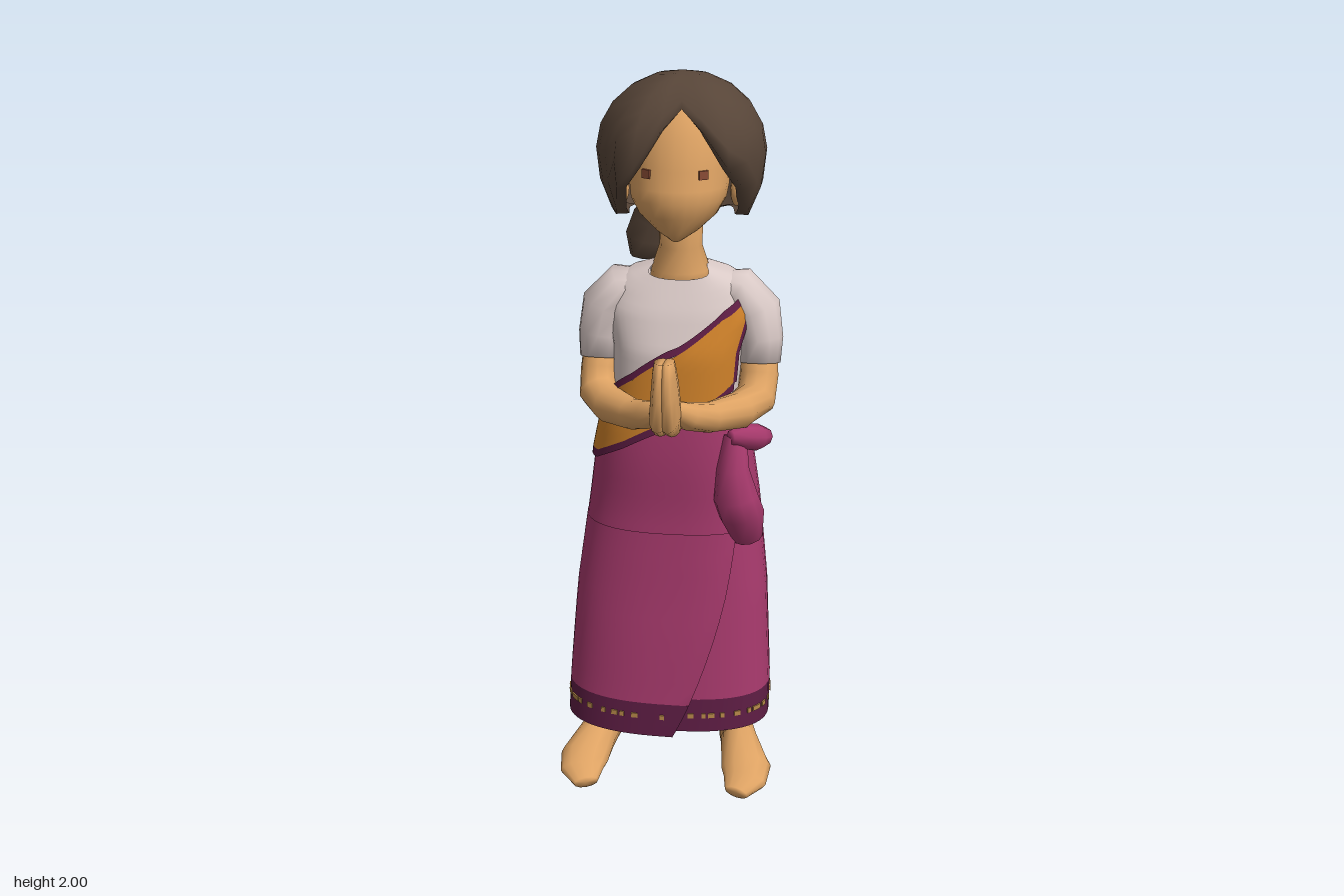
import * as THREE from 'three';
import { mergeVertices } from 'three/addons/utils/BufferGeometryUtils.js';

const V = (x, y, z) => new THREE.Vector3(x, y, z);
const lerp = THREE.MathUtils.lerp;
const rad = THREE.MathUtils.degToRad;
const CX = 0.03; // middle line of head and arms

// Body and head outlines: [y, xMin, xMax, zMin, zMax]
const BODY = [
  [0.19, -0.28, 0.287, -0.21, 0.11], [0.3, -0.275, 0.287, -0.22, 0.105],
  [0.6, -0.25, 0.272, -0.22, 0.088], [0.85, -0.215, 0.245, -0.24, 0.083],
  [1.0, -0.195, 0.222, -0.245, 0.095], [1.09, -0.175, 0.21, -0.22, 0.095],
  [1.17, -0.145, 0.19, -0.175, 0.09], [1.3, -0.145, 0.2, -0.187, 0.085],
  [1.4, -0.17, 0.23, -0.187, 0.05], [1.46, -0.15, 0.21, -0.17, 0.02],
  [1.49, -0.105, 0.165, -0.155, 0.005], [1.51, -0.04, 0.1, -0.135, -0.005],
];
const HEAD = [
  [1.595, 0.015, 0.045, -0.01, 0.06], [1.62, -0.025, 0.085, -0.06, 0.085],
  [1.66, -0.07, 0.13, -0.1, 0.1], [1.7, -0.092, 0.152, -0.14, 0.117],
  [1.73, -0.097, 0.157, -0.16, 0.107], [1.78, -0.1, 0.16, -0.19, 0.1],
  [1.86, -0.1, 0.16, -0.21, 0.08], [1.92, -0.07, 0.13, -0.2, 0.04], [1.96, -0.02, 0.08, -0.15, 0],
];

// Piecewise linear lookup in rows sorted by their first entry
function lookup(rows, t) {
  let i = 0;
  while (i < rows.length - 2 && t > rows[i + 1][0]) i++;
  const k = THREE.MathUtils.clamp((t - rows[i][0]) / (rows[i + 1][0] - rows[i][0]), 0, 1);
  return rows[i].map((a, j) => lerp(a, rows[i + 1][j], k));
}

// Point on an outline at a height and an angle in degrees (0 = front, 90 = +x), squarer at the back
function surf(rows, y, deg, off = 0, n = Math.cos(rad(deg)) < 0 ? 3 : 2.5) {
  const [, x0, x1, z0, z1] = lookup(rows, y);
  const s = Math.sin(rad(deg)), c = Math.cos(rad(deg));
  const p = (t) => Math.sign(t) * Math.abs(t) ** (2 / n);
  return V((x0 + x1) / 2 + ((x1 - x0) / 2 + off) * p(s), y, (z0 + z1) / 2 + ((z1 - z0) / 2 + off) * p(c));
}

// Smooth surface over a grid of nu by nv cells
function grid(nu, nv, f) {
  const pos = [], idx = [];
  for (let i = 0; i <= nv; i++) for (let j = 0; j <= nu; j++) pos.push(...f(j / nu, i / nv).toArray());
  for (let i = 0; i < nv; i++) for (let j = 0; j < nu; j++) {
    const a = i * (nu + 1) + j, d = a + nu + 1;
    idx.push(a, a + 1, d + 1, a, d + 1, d);
  }
  let g = new THREE.BufferGeometry();
  g.setAttribute('position', new THREE.Float32BufferAttribute(pos, 3));
  g.setIndex(idx);
  g = mergeVertices(g, 1e-4);
  g.computeVertexNormals();
  return g;
}

// Closed limb through [x, y, z, radiusSide, radiusOther] points
function limb(pts, sides = 12) {
  const P = pts.map((p) => V(p[0], p[1], p[2]));
  const rings = P.map((c, i) => {
    const dir = P[Math.min(i + 1, P.length - 1)].clone().sub(P[Math.max(i - 1, 0)]).normalize();
    const side = V(1, 0, 0).addScaledVector(dir, -dir.x).normalize();
    return { c, side, other: dir.clone().cross(side), ra: pts[i][3], rb: pts[i][4] ?? pts[i][3] };
  });
  rings.unshift({ ...rings[0], ra: 0, rb: 0 });
  rings.push({ ...rings[rings.length - 1], ra: 0, rb: 0 });
  return grid(sides, rings.length - 1, (u, v) => {
    const r = rings[Math.round(v * (rings.length - 1))], a = (u % 1) * Math.PI * 2;
    return r.c.clone().addScaledVector(r.side, Math.cos(a) * r.ra).addScaledVector(r.other, Math.sin(a) * r.rb);
  });
}

export function createModel() {
  const root = new THREE.Group();
  root.name = 'woman';
  const mat = (name, color, side = THREE.DoubleSide) => {
    const m = new THREE.MeshStandardMaterial({ color, side });
    m.name = name;
    return m;
  };
  const skin = mat('skin', 0xdda263, THREE.FrontSide), hair = mat('dark brown hair', 0x574538);
  const white = mat('pale blouse', 0xd9c9c6), magenta = mat('magenta cloth', 0xa83a6d);
  const plum = mat('plum trim', 0x5e1d44), orange = mat('orange sash', 0xd0822a);
  const gold = mat('gold dots', 0xb98a4a, THREE.FrontSide), eye = mat('eye brown', 0x8a4c36, THREE.FrontSide);
  const add = (name, geo, m, pos) => {
    const mesh = new THREE.Mesh(geo, m);
    mesh.name = name;
    if (pos) mesh.position.set(...pos);
    root.add(mesh);
    return mesh;
  };
  // Piece of cloth lying on the body between two angles and two heights
  const fn = (a) => (typeof a === 'function' ? a : () => a);
  const cloth = (name, m, a0, a1, y0, y1, off, nu, nv) => add(name, grid(nu, nv, (u, v) => {
    const a = lerp(a0, a1, u);
    return surf(BODY, lerp(fn(y0)(a), fn(y1)(a), v), a, off);
  }), m);

  // Skirt, hem and blouse with a scooped neckline
  cloth('skirt', magenta, -180, 180, 0.3, 1.16, 0.004, 48, 20);
  cloth('hem', plum, -180, 180, 0.2, 0.3, 0.004, 48, 2);
  add('hemUnderside', grid(32, 1, (u, v) => surf(BODY, 0.215, u * 360).lerp(V(0, 0.225, -0.05), v)), plum);
  cloth('blouse', white, -180, 180, 1.13, (a) => 1.51 - 0.028 * Math.max(0, Math.cos(rad(a))) ** 3, 0, 48, 20);

  // Wrapped front panel of the skirt, with a slanted edge
  const fold = (y) => lerp(3, 42, (y - 0.19) / 0.6);
  const panel = (name, m, y0, y1) => add(name, grid(20, 8, (u, v) => {
    const y = lerp(y0, y1, v), k = Math.min(u * 20, 19) / 19;
    const off = u === 1 ? 0 : 0.004 + 0.018 * k * (1 - Math.max(0, (y - 0.5) / 0.6));
    return surf(BODY, y, lerp(-100, fold(y), k), off);
  }), m);
  panel('wrapPanel', magenta, 0.29, 0.8);
  panel('wrapPanelHem', plum, 0.19, 0.29);

  // Gold dots around the hem
  for (let i = 0; i < 44; i++) {
    const a = -180 + (i * 360) / 44 + 3 * Math.sin(i * 5);
    const raised = a > -100 && a < fold(0.25);
    const off = raised ? 0.004 + 0.018 * (a + 100) / (fold(0.25) + 100) : 0.004;
    const p = surf(BODY, 0.25, a, off), q = surf(BODY, 0.25, a + 1, off);
    const dot = add('hemDot', new THREE.BoxGeometry(0.012 + 0.006 * (i % 2), 0.014, 0.006), gold, p.toArray());
    dot.rotation.y = Math.atan2(-(q.z - p.z), q.x - p.x);
  }

  // Sash from the chest round the right hip to the left shoulder blade: [angle, bottom, top]
  const SASH = [
    [-218, 1.39, 1.475], [-200, 1.32, 1.47], [-165, 1.16, 1.4], [-135, 1.06, 1.3], [-100, 0.99, 1.2], [-60, 1.01, 1.18],
    [-30, 1.06, 1.23], [0, 1.125, 1.3], [30, 1.18, 1.39], [56, 1.22, 1.43],
  ];
  const low = (a) => lookup(SASH, a)[1], high = (a) => lookup(SASH, a)[2];
  cloth('sash', orange, -218, 56, low, high, 0.012, 64, 8);
  cloth('sashLowerTrim', plum, -218, 58, (a) => low(a) - 0.022, low, 0.012, 64, 1);
  cloth('sashUpperTrim', plum, -200, 58, high, (a) => high(a) + 0.02, 0.012, 60, 1);
  cloth('sashEndTrim', plum, 56, 62, low, high, 0.012, 2, 8);

  // Knot and hanging cloth at the left hip
  add('knot', limb([[0.18, 1.085, 0.09, 0.02], [0.215, 1.08, 0.065, 0.034], [0.245, 1.07, 0.04, 0.036],
    [0.265, 1.06, 0.005, 0.024]], 8), magenta);
  add('hangingCloth', limb([[0.19, 1.08, 0.065, 0.03], [0.185, 0.99, 0.072, 0.044, 0.045], [0.195, 0.91, 0.077, 0.06, 0.056],
    [0.21, 0.86, 0.065, 0.062, 0.05], [0.225, 0.78, 0.04, 0.042, 0.035]], 10), magenta);

  // Arms and legs
  for (const [s, sideName] of [[1, 'left'], [-1, 'right']]) {
    const arm = (pts) => limb(pts.map(([x, ...r]) => [CX + s * x, ...r]));
    add(sideName + 'Sleeve', arm([[0.08, 1.45, -0.075, 0.035, 0.05], [0.15, 1.44, -0.075, 0.062, 0.085],
      [0.193, 1.385, -0.07, 0.073, 0.095], [0.21, 1.31, -0.06, 0.063, 0.076], [0.211, 1.25, -0.045, 0.057, 0.062]]), white);
    add(sideName + 'Arm', arm([[0.208, 1.3, -0.055, 0.048], [0.212, 1.22, -0.03, 0.052], [0.208, 1.17, 0.01, 0.054],
      [0.17, 1.155, 0.07, 0.049], [0.1, 1.165, 0.16, 0.04], [0.05, 1.19, 0.225, 0.036], [0.015, 1.22, 0.265, 0.025]]), skin);
    add(sideName + 'Hand', arm([[0.015, 1.165, 0.24, 0.022, 0.03], [0.013, 1.21, 0.275, 0.027, 0.07],
      [0.011, 1.28, 0.285, 0.023, 0.075], [0.009, 1.33, 0.295, 0.02, 0.058], [0.008, 1.355, 0.292, 0.017, 0.042]]), skin);

    const leg = (pts) => limb(pts.map(([x, ...r]) => [s * x, ...r]));
    add(sideName + 'Leg', leg([[0.185, 0.3, -0.11, 0.05], [0.188, 0.18, -0.115, 0.042, 0.06],
      [0.19, 0.11, -0.115, 0.05, 0.068], [0.19, 0.05, -0.12, 0.045, 0.06]]), skin);
    add(sideName + 'Cuff', leg([[0.187, 0.24, -0.112, 0.052, 0.064], [0.187, 0.185, -0.114, 0.048, 0.064]]), plum);
    add(sideName + 'Foot', leg([[0.188, 0.05, -0.195, 0.025, 0.035], [0.192, 0.06, -0.16, 0.048, 0.058],
      [0.21, 0.068, -0.05, 0.055, 0.067], [0.236, 0.045, 0.035, 0.071, 0.044], [0.235, 0.034, 0.085, 0.062, 0.03],
      [0.215, 0.026, 0.138, 0.035, 0.018]]), skin);
  }

  // Neck, head, ears and eyes
  add('neck', limb([[0.03, 1.43, -0.068, 0.09, 0.075], [CX, 1.495, -0.068, 0.077, 0.07], [CX, 1.56, -0.065, 0.056, 0.058],
    [CX, 1.68, -0.055, 0.06, 0.062]]), skin);
  add('head', grid(24, HEAD.length + 1, (u, v) => {
    const i = Math.round(v * (HEAD.length + 1)), row = HEAD[THREE.MathUtils.clamp(i - 1, 0, HEAD.length - 1)];
    const end = i === 0 || i === HEAD.length + 1;
    return end ? V(CX, row[0], (row[3] + row[4]) / 2) : surf(HEAD, row[0], (u % 1) * 360, 0, 2);
  }), skin);
  for (const s of [1, -1]) {
    add('ear', new THREE.SphereGeometry(1, 10, 8), skin, [CX + s * 0.147, 1.71, -0.03]).scale.set(0.018, 0.04, 0.028);
    const p = surf(HEAD, 1.77, s * 33, 0, 2);
    add('eye', new THREE.BoxGeometry(0.025, 0.022, 0.009), eye, p.toArray()).rotation.y = s * 0.55;
  }

  // Hair cap, parted at the front: [angle from parting, lower edge y, fullness, underside reach]
  const HAIR = [[0, 1.925, 0.9, 0.9], [15, 1.875, 1.02, 0.88], [30, 1.785, 1.1, 0.86], [45, 1.73, 1.08, 0.85], [60, 1.665, 1.03, 0.85],
    [75, 1.64, 1.02, 0.8], [100, 1.655, 1.01, 0.7], [140, 1.625, 1, 0.5], [180, 1.605, 1, 0.45]];
  add('hair', grid(24, 8, (u, v) => {
    const turn = (u % 1) * 360, a = rad(turn + 5);
    const [, edge, full, reach] = lookup(HAIR, turn > 180 ? 360 - turn : turn);
    const i = Math.round(v * 8), h = edge - 1.8;
    const e = Math.asin(h / (h < 0 ? 0.27 : 0.2));
    const lat = lerp(e, Math.PI / 2, Math.max(0, i - 1) / 7);
    const r = Math.cos(lat) * full * (1 + 0.012 * Math.sin(7 * a)) * (i === 0 ? reach : 1);
    return V(CX + 0.216 * r * Math.sin(a), 1.8 + Math.sin(lat) * (lat < 0 ? 0.27 : 0.2), -0.09 + 0.2 * r * Math.cos(a));
  }), hair);
  add('ponytail', limb([[0.01, 1.71, -0.22, 0.055], [-0.04, 1.64, -0.26, 0.036], [-0.075, 1.575, -0.293, 0.052],
    [-0.092, 1.515, -0.303, 0.058], [-0.098, 1.46, -0.302, 0.04]], 8), hair);

  return root;
}
